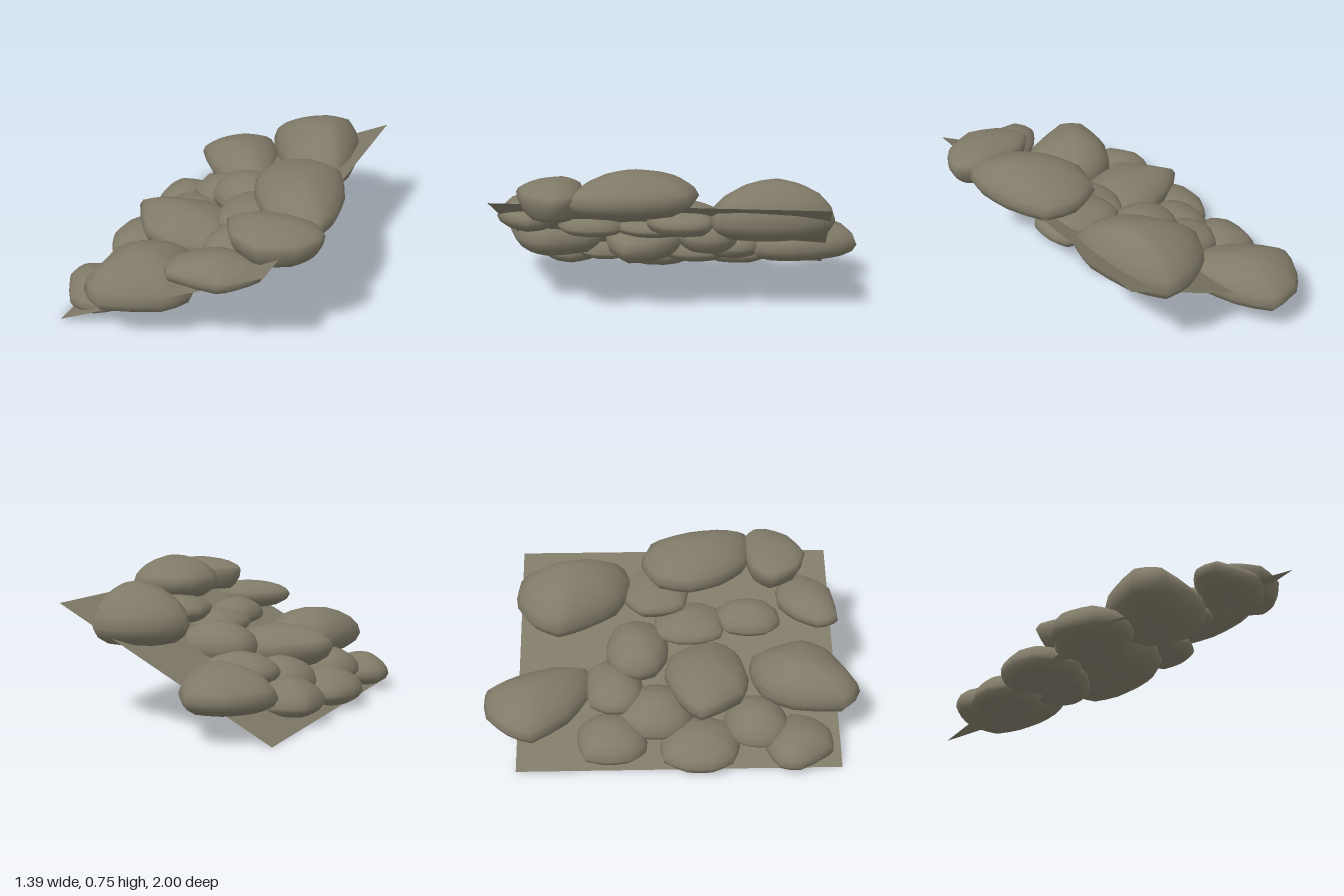
import * as THREE from 'three';

const stone = new THREE.MeshStandardMaterial({ color: 0x807a68, side: THREE.DoubleSide });
stone.name = 'greyBrownStone';

// Ring scale and relative height (-1 low, 0 widest, 1 high)
const upper = [[1, 0], [0.94, 0.3], [0.78, 0.58], [0.54, 0.8], [0.27, 0.95]];
const roundBase = [[0.45, -0.97], [0.72, -0.78], [0.92, -0.42]];
const flatBase = [[0.74, -1], [0.87, -0.75], [0.97, -0.35]];

// Boulder lofted from one plan outline [x, z], scaled ring by ring from low to high.
// The top can lean towards a peak [x, z], and the whole can tilt along x.
function rock(name, low, mid, high, points, { base = roundBase, peak, tilt = 0 } = {}) {
  const curve = new THREE.CatmullRomCurve3(
    points.map(([x, z]) => new THREE.Vector3(x, 0, z)), true, 'catmullrom', 0.25);
  const sides = points.length * 2;
  const plan = Array.from({ length: sides }, (_, i) => curve.getPoint(i / sides));
  const area = plan.reduce((sum, p, i) => {
    const q = plan[(i + 1) % sides];
    return sum + p.x * q.z - q.x * p.z;
  }, 0);
  if (area > 0) plan.reverse();
  const centre = plan.reduce((c, p) => c.add(p), new THREE.Vector3()).divideScalar(sides);
  const apex = peak ? new THREE.Vector3(peak[0], 0, peak[1]) : centre;

  const rings = [...base, ...upper];
  const pos = [], index = [];
  const push = (x, v, z) => {
    const y = v < 0 ? mid + v * (mid - low) : mid + v * (high - mid);
    pos.push(x, y + tilt * (x - centre.x), z);
  };
  for (const [s, v] of rings) {
    const c = v > 0 ? apex : centre;
    for (const p of plan) push(c.x + (p.x - c.x) * s, v, c.z + (p.z - c.z) * s);
  }
  const bottom = rings.length * sides, top = bottom + 1;
  push(centre.x, -1, centre.z);
  push(apex.x, 1, apex.z);
  const last = (rings.length - 1) * sides;
  for (let i = 0; i < sides; i++) {
    const j = (i + 1) % sides;
    for (let r = 0; r < last; r += sides) {
      const a = r + i, b = r + j;
      index.push(a, b, b + sides, a, b + sides, a + sides);
    }
    index.push(bottom, j, i, top, last + i, last + j);
  }
  const geo = new THREE.BufferGeometry();
  geo.setAttribute('position', new THREE.Float32BufferAttribute(pos, 3));
  geo.setIndex(index);
  geo.computeVertexNormals();
  const mesh = new THREE.Mesh(geo, stone);
  mesh.name = name;
  return mesh;
}

// Uneven outline filling a rectangle in plan, flattened where it meets the sides
function pebbleOutline(x0, x1, z0, z1, seed) {
  const clamp = (t) => THREE.MathUtils.clamp(t, -1, 1);
  return Array.from({ length: 10 }, (_, i) => {
    const a = (i / 10) * Math.PI * 2 + seed;
    const r = 1.1 + 0.06 * Math.sin(seed * 7 + i * 2.4);
    return [(x0 + x1) / 2 + clamp(Math.cos(a) * r) * (x1 - x0) / 2,
      (z0 + z1) / 2 + clamp(Math.sin(a) * r) * (z1 - z0) / 2];
  });
}

export function createModel() {
  const group = new THREE.Group();
  group.name = 'rockySlope';

  // Sloping ground sheet, rising towards +x
  const ground = new THREE.PlaneGeometry(1.15, 1.705);
  ground.rotateX(-Math.PI / 2);
  ground.translate(-0.0275, 0, 0.03);
  const p = ground.attributes.position;
  for (let i = 0; i < p.count; i++) p.setY(i, p.getX(i) > 0 ? 0.6 : 0);
  ground.computeVertexNormals();
  const sheet = new THREE.Mesh(ground, stone);
  sheet.name = 'slopeSheet';
  group.add(sheet);

  // Large boulders with their own outlines
  group.add(
    rock('frontBoulder', 0.15, 0.26, 0.43, [[-0.43, 0.9], [-0.41, 0.63], [-0.32, 0.48],
      [-0.18, 0.42], [-0.04, 0.43], [0.045, 0.58], [0.09, 0.73], [0, 0.87], [-0.3, 0.995]],
    { peak: [-0.23, 0.68] }),
    rock('centreBoulder', 0.15, 0.27, 0.4, [[-0.54, 0.14], [-0.4, 0.03], [-0.2, -0.04],
      [-0.02, -0.02], [0.1, 0.11], [0.14, 0.27], [0.02, 0.37], [-0.2, 0.41], [-0.38, 0.37]],
    { tilt: -0.1, peak: [-0.17, 0.18] }),
    rock('backLowBoulder', 0.12, 0.21, 0.35, [[-0.595, -0.73], [-0.53, -0.87], [-0.42, -0.975],
      [-0.24, -1.0], [-0.12, -0.83], [-0.05, -0.62], [-0.06, -0.43], [-0.25, -0.44], [-0.44, -0.54]]),
    rock('backHighBoulder', 0.38, 0.49, 0.69, [[-0.06, -0.61], [0.03, -0.75], [0.17, -0.835],
      [0.34, -0.845], [0.45, -0.66], [0.495, -0.4], [0.46, -0.24], [0.33, -0.21], [0.15, -0.28],
      [0.02, -0.45]], { peak: [0.3, -0.53] }),
    rock('topBoulder', 0.52, 0.62, 0.755, [[0.15, 0.1], [0.2, -0.08], [0.36, -0.16], [0.54, -0.12],
      [0.64, 0.1], [0.67, 0.3], [0.64, 0.45], [0.5, 0.46], [0.35, 0.42], [0.22, 0.28]],
    { peak: [0.44, 0.18] }),
    rock('topFrontBoulder', 0.53, 0.64, 0.71, [[0.2, 0.55], [0.3, 0.45], [0.45, 0.42], [0.6, 0.42],
      [0.69, 0.49], [0.69, 0.57], [0.62, 0.68], [0.45, 0.76], [0.29, 0.7]], { base: flatBase }),
    rock('frontHighBoulder', 0.4, 0.475, 0.56, [[0, 0.79], [0.08, 0.67], [0.2, 0.59], [0.4, 0.6],
      [0.47, 0.71], [0.4, 0.82], [0.31, 0.9], [0.04, 0.905]]),
    rock('frontLowBoulder', 0.01, 0.08, 0.19, [[-0.69, 0.65], [-0.67, 0.54], [-0.55, 0.48],
      [-0.4, 0.5], [-0.29, 0.63], [-0.33, 0.76], [-0.43, 0.84], [-0.57, 0.83]],
    { peak: [-0.53, 0.66] }),
  );

  // Smaller stones filling the gaps: x range, z range, low, widest, high
  const stones = [
    [-0.69, -0.32, -0.07, 0.35, 0.02, 0.08, 0.19],
    [-0.65, -0.31, -0.5, -0.14, 0.05, 0.1, 0.22],
    [-0.52, -0.14, -0.29, 0.11, 0.1, 0.15, 0.28],
    [-0.4, 0, -0.46, -0.16, 0.17, 0.23, 0.33],
    [-0.23, 0.2, -0.35, -0.02, 0.25, 0.33, 0.46],
    [-0.04, 0.3, -0.09, 0.29, 0.36, 0.4, 0.48],
    [0.03, 0.31, 0.25, 0.6, 0.36, 0.4, 0.5],
    [0.11, 0.53, -0.25, 0.1, 0.43, 0.49, 0.57],
    [-0.56, -0.21, 0.27, 0.61, 0.08, 0.12, 0.25],
  ];
  stones.forEach(([x0, x1, z0, z1, low, mid, high], i) => group.add(
    rock(`smallStone${i + 1}`, low, mid, high, pebbleOutline(x0, x1, z0, z1, i + 1),
      { base: flatBase })));

  return group;
}
